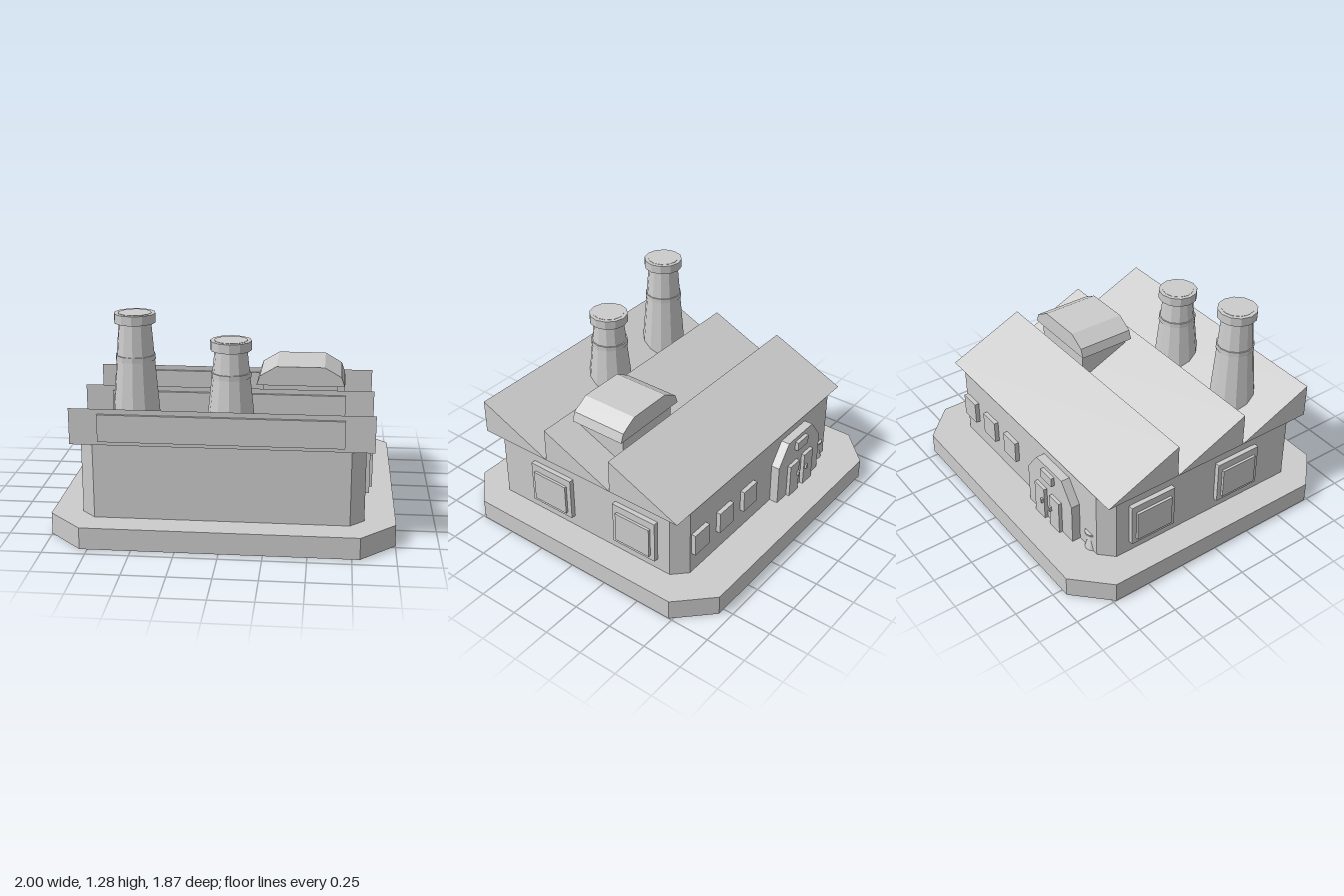
import * as THREE from 'three';

export function createModel() {
  const model = new THREE.Group();
  model.name = 'factory';
  const grey = new THREE.MeshStandardMaterial({ color: 0xcccccc, side: THREE.DoubleSide });
  grey.name = 'plain grey';
  grey.flatShading = true;

  const add = (name, geometry) => {
    const mesh = new THREE.Mesh(geometry, grey);
    mesh.name = name;
    model.add(mesh);
    return mesh;
  };
  // Box given by its limits on each axis
  const box = (name, x0, x1, y0, y1, z0, z1) => {
    const g = new THREE.BoxGeometry(x1 - x0, y1 - y0, z1 - z0);
    return add(name, g.translate((x0 + x1) / 2, (y0 + y1) / 2, (z0 + z1) / 2));
  };
  const toShape = (points) => new THREE.Shape(points.map(([x, y]) => new THREE.Vector2(x, y)));
  const extrude = (points, depth) =>
    new THREE.ExtrudeGeometry(toShape(points), { depth, bevelEnabled: false });
  // Rectangle with four cut corners, as [x, -z] points
  const cutRectangle = (x, z0, z1, cut) => [
    [-x + cut, -z1], [x - cut, -z1], [x, -z1 + cut], [x, -z0 - cut],
    [x - cut, -z0], [-x + cut, -z0], [-x, -z0 - cut], [-x, -z1 + cut],
  ];

  // Base: a hollow tray, open underneath
  const baseTop = 0.13;
  const outline = cutRectangle(1, -0.935, 0.935, 0.205);
  add('baseTop', new THREE.ShapeGeometry(toShape(outline))
    .rotateX(-Math.PI / 2).translate(0, baseTop, 0));
  outline.forEach(([ax, ay], i) => {
    const [bx, by] = outline[(i + 1) % outline.length];
    const g = new THREE.PlaneGeometry(Math.hypot(bx - ax, by - ay), baseTop);
    g.rotateY(Math.atan2(by - ay, bx - ax));
    add('baseSide', g.translate((ax + bx) / 2, baseTop / 2, -(ay + by) / 2));
  });

  // Walls
  add('walls', extrude(cutRectangle(0.82, -0.682, 0.767, 0.083), 0.577 - baseTop)
    .rotateX(-Math.PI / 2).translate(0, baseTop, 0));

  // Sawtooth roof with a long panel on each upright face
  const teeth = [[0.78, 0.288], [0.288, -0.198], [-0.198, -0.685]];
  for (const [front, back] of teeth) {
    const g = extrude([[-front, 0.576], [-back, 0.576], [-front, 0.79]], 1.73);
    add('roofTooth', g.rotateY(Math.PI / 2).translate(-0.865, 0, 0));
    box('roofPanel', -0.7, 0.697, 0.6, 0.76, front - 0.01, front + 0.017);
  }

  // Twelve-sided tapering chimneys with a thin band and a cap
  const lathe = (name, points, x, z) => add(name, new THREE.LatheGeometry(
    points.map(([r, y]) => new THREE.Vector2(r, y)), 12)).position.set(x, 0, z);
  const chimney = (x, z, top, band) => {
    const cap = top - 0.055;
    lathe('chimneyShaft', [[0.148, 0.58], [0.095, cap]], x, z);
    lathe('chimneyBand', [[0.1, band - 0.03], [0.117, band - 0.03], [0.117, band], [0.1, band]], x, z);
    lathe('chimneyCap', [
      [0.09, cap], [0.121, cap], [0.121, top], [0.097, top], [0.097, top + 0.002], [0, top + 0.002],
    ], x, z);
  };
  chimney(-0.523, 0.485, 1.283, 1.04);
  chimney(0.032, 0.485, 1.133, 0.947);

  // Roof vent and its hood
  box('ventBody', 0.2, 0.65, 0.6, 0.8, -0.13, 0.2);
  add('ventHood', extrude([
    [0.16, 0.793], [0.692, 0.793], [0.672, 0.85], [0.57, 0.91], [0.28, 0.91], [0.18, 0.85],
  ], 0.37).translate(0, 0, -0.152));

  // Framed windows on both sides
  for (const s of [-1, 1]) {
    for (const z of [0.277, -0.358]) {
      const slab = (name, depth, w, y0, y1) => {
        const a = s * 0.81, b = s * depth;
        box(name, Math.min(a, b), Math.max(a, b), y0, y1, z - w / 2, z + w / 2);
      };
      slab('sideWindowFrame', 0.85, 0.308, 0.203, 0.48);
      slab('sideWindowPane', 0.866, 0.247, 0.235, 0.432);
    }
  }

  // Back windows
  for (const x of [0.168, 0.413, 0.655]) {
    box('backWindow', x - 0.068, x + 0.068, 0.268, 0.412, -0.71, -0.67);
  }

  // Back entrance: portal, double door, handles and plate
  add('portal', extrude([
    [-0.567, 0.13], [-0.1, 0.13], [-0.1, 0.395], [-0.2, 0.528], [-0.467, 0.528], [-0.567, 0.395],
  ], 0.065).translate(0, 0, -0.737));
  for (const s of [-1, 1]) {
    const x = -0.332 + s * 0.079, h = -0.332 + s * 0.045;
    box('door', x - 0.05, x + 0.05, 0.13, 0.355, -0.76, -0.73);
    box('doorHandle', h - 0.008, h + 0.008, 0.25, 0.28, -0.775, -0.75);
  }
  box('doorPlate', -0.39, -0.274, 0.44, 0.5, -0.76, -0.73);

  // Small post half sunk in the back wall: flared foot and round cap
  lathe('postFoot', [[0.05, 0.13], [0.03, 0.2]], -0.662, -0.655);
  lathe('postCap', [[0, 0.24], [0.045, 0.24], [0.045, 0.25], [0, 0.25]], -0.662, -0.66);

  return model;
}
